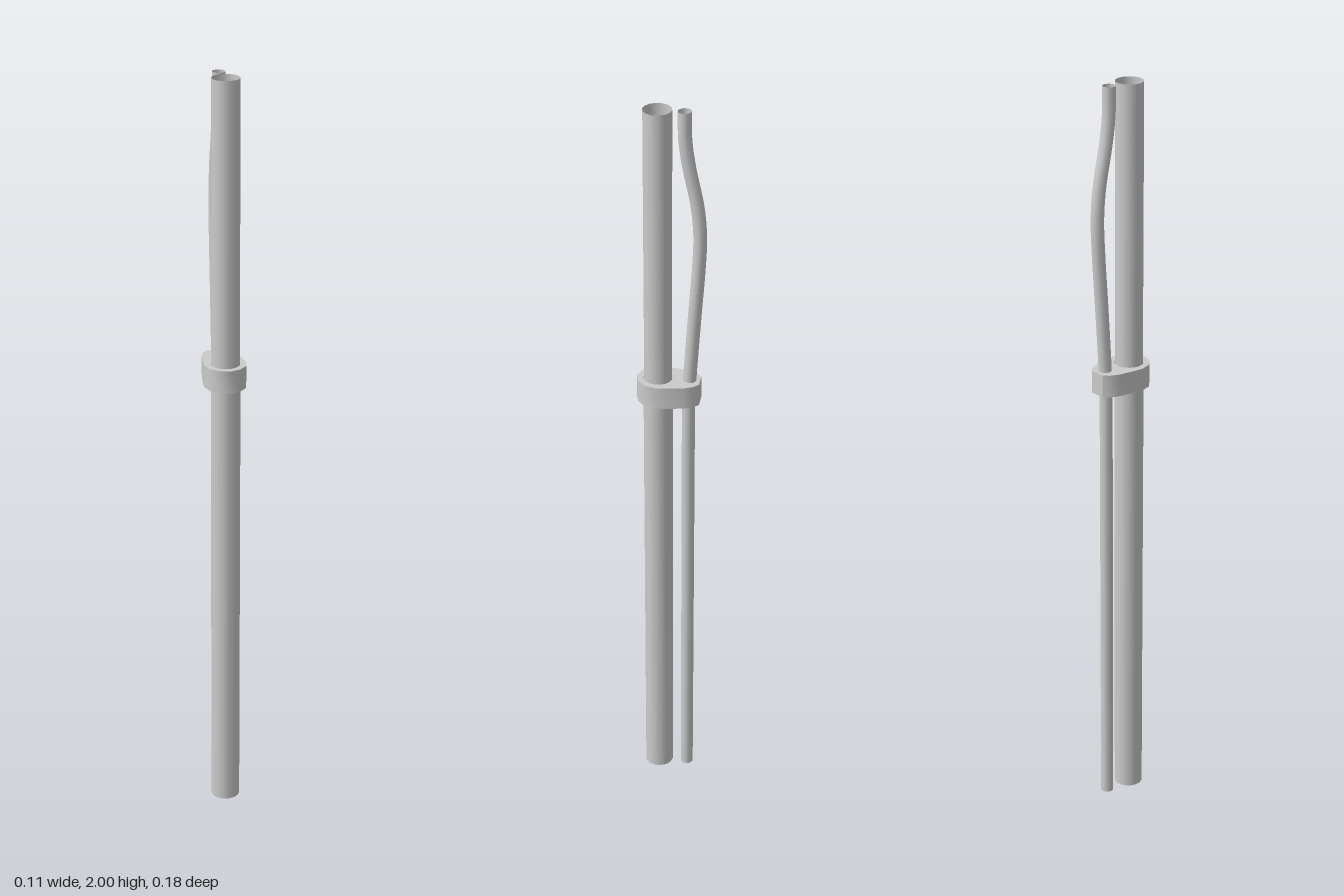
import * as THREE from 'three';
import { toCreasedNormals } from 'three/addons/utils/BufferGeometryUtils.js';

const material = new THREE.MeshStandardMaterial({ color: 0xcccccc, side: THREE.DoubleSide });
const POLE_Z = 0.033, CLAMP_BOTTOM = 1.2, CLAMP_TOP = 1.26;

function addMesh(group, name, geometry) {
  const mesh = new THREE.Mesh(geometry, material);
  mesh.name = name;
  group.add(mesh);
  return mesh;
}

// Open-ended upright tube between two heights
function addPole(group, name, radius, y0, y1, z, sides) {
  const mesh = addMesh(group, name, new THREE.CylinderGeometry(radius, radius, y1 - y0, sides, 1, true));
  mesh.position.set(0, (y0 + y1) / 2, z);
}

export function createModel() {
  const model = new THREE.Group();
  model.name = 'clampedPole';

  // Main hollow pole, slightly slimmer above the clamp
  addPole(model, 'lowerPole', 0.038, 0, CLAMP_TOP, POLE_Z, 14);
  addPole(model, 'upperPole', 0.036, CLAMP_BOTTOM, 2, POLE_Z, 14);

  // Thin straight tube below the clamp
  addPole(model, 'lowerThinTube', 0.017, 0, CLAMP_TOP, -0.045, 12);

  // Thin tube above the clamp, bowing out to the back
  const bow = [[1.22, -0.046], [1.28, -0.049], [1.45, -0.06], [1.58, -0.069], [1.67, -0.072],
    [1.75, -0.065], [1.86, -0.043], [1.93, -0.034], [2, -0.033]];
  const path = new THREE.CatmullRomCurve3(bow.map(([y, z]) => new THREE.Vector3(0, y, z)));
  addMesh(model, 'upperThinTube', new THREE.TubeGeometry(path, 32, 0.017, 12, false));

  // Clamp: tapered collar around both tubes, half outline mirrored in x
  const half = [[0, 0.088], [0.026, 0.08], [0.047, 0.06], [0.055, 0.03], [0.052, 0.003],
    [0.044, -0.04], [0.034, -0.062], [0.02, -0.075]];
  const mirrored = half.slice(1).reverse().map(([x, z]) => [-x, z]);
  const outline = [...half, ...mirrored].map(([x, z]) => new THREE.Vector2(x, -z));
  const shape = new THREE.Shape(outline);
  shape.holes.push(new THREE.Path().absarc(0, -POLE_Z, 0.037, 0, Math.PI * 2, true));
  const clamp = new THREE.ExtrudeGeometry(shape, {
    depth: CLAMP_TOP - CLAMP_BOTTOM, bevelEnabled: false, curveSegments: 14,
  });
  clamp.rotateX(-Math.PI / 2).translate(0, CLAMP_BOTTOM, 0);
  addMesh(model, 'clamp', toCreasedNormals(clamp, 0.6));

  return model;
}
